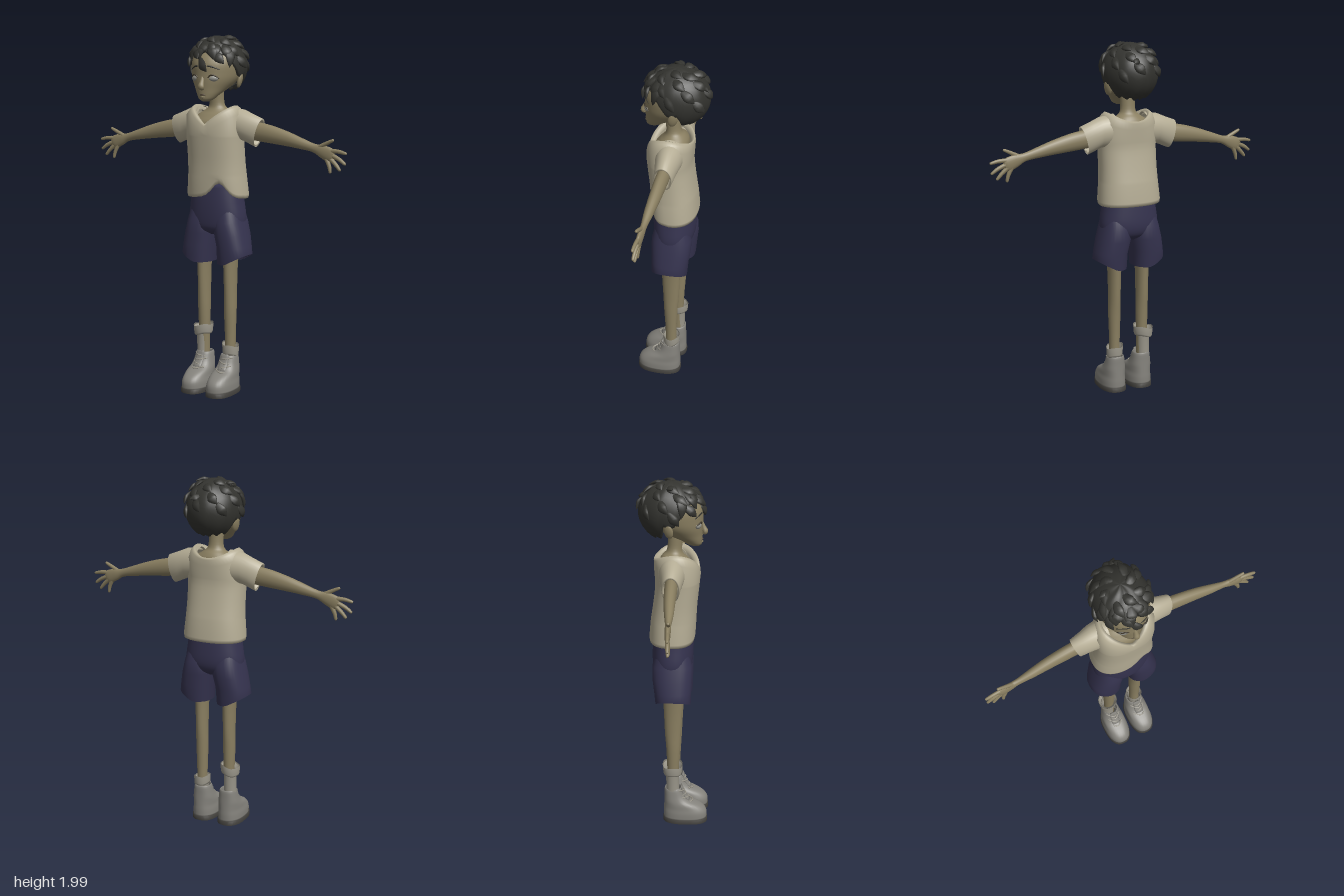
import * as THREE from 'three';

const mat = (color) => new THREE.MeshStandardMaterial({ color, side: THREE.DoubleSide });
const V = (x, y, z) => new THREE.Vector3(x, y, z);

// Catmull-Rom through rows of numbers, used for every profile and path
function spline(rows, steps = 4) {
  const out = [], last = rows.length - 1;
  const at = (i) => rows[Math.max(0, Math.min(last, i))];
  for (let i = 0; i < last; i++) {
    for (let s = 0; s < steps; s++) {
      const t = s / steps, [a, b, c, d] = [at(i - 1), at(i), at(i + 1), at(i + 2)];
      out.push(b.map((p, k) => p + 0.5 * t * (c[k] - a[k] + t * (2 * a[k] - 5 * p + 4 * c[k] - d[k]
        + t * (3 * (p - c[k]) + d[k] - a[k])))));
    }
  }
  out.push(rows[last]);
  return out;
}

// Smooth skin over a list of closed rings, each an array of points
function loft(rings, capStart = false, capEnd = false) {
  const point = (r) => {
    const c = r.reduce((s, p) => s.add(p), V(0, 0, 0)).divideScalar(r.length);
    return r.map(() => c);
  };
  const all = [...(capStart ? [point(rings[0])] : []), ...rings, ...(capEnd ? [point(rings.at(-1))] : [])];
  const n = rings[0].length, index = [];
  for (let i = 0; i < all.length - 1; i++) {
    for (let j = 0; j < n; j++) {
      const a = i * n + j, b = i * n + (j + 1) % n;
      index.push(a, b, a + n, b, b + n, a + n);
    }
  }
  const g = new THREE.BufferGeometry().setFromPoints(all.flat());
  g.setIndex(index);
  g.computeVertexNormals();
  return g;
}

// Horizontal ring: angle 0 is the front; yAt may bend its height
function ring(cx, y, rx, zf, zb, n = 32, pow = 1, yAt = null) {
  const bend = (v) => Math.sign(v) * Math.abs(v) ** pow;
  return Array.from({ length: n }, (_, i) => {
    const a = i / n * Math.PI * 2;
    const x = cx + rx * bend(Math.sin(a)), z = (zf + zb) / 2 + (zf - zb) / 2 * bend(Math.cos(a));
    return V(x, yAt ? yAt(x, z, a) : y, z);
  });
}
// Upright body from rows [y, halfWidth, zFront, zBack]
const stack = (rows, cx = 0, n = 32, pow = 1, steps = 4) =>
  spline(rows, steps).map(([y, rx, zf, zb]) => ring(cx, y, rx, zf, zb, n, pow));

// Sweep along rows [x, y, z, radius across, radius in depth]
function sweep(rows, n = 14, steps = 4, depth = V(0, 0, 1)) {
  const pts = spline(rows, steps), P = pts.map((p) => V(p[0], p[1], p[2]));
  return loft(P.map((p, i) => {
    const t = P[Math.min(i + 1, P.length - 1)].clone().sub(P[Math.max(i - 1, 0)]).normalize();
    const v = depth.clone().addScaledVector(t, -depth.dot(t)).normalize(), u = t.clone().cross(v);
    return Array.from({ length: n }, (_, j) => {
      const a = j / n * Math.PI * 2;
      return p.clone().addScaledVector(u, Math.sin(a) * pts[i][3]).addScaledVector(v, Math.cos(a) * pts[i][4]);
    });
  }), true, true);
}

export function createModel() {
  const model = new THREE.Group();
  const skin = mat(0x8a7f61), hairMat = mat(0x33332f), shirtMat = mat(0xb5ad95), shortsMat = mat(0x35334f);
  const shoeMat = mat(0x84827c), soleMat = mat(0x45433f), sockMat = mat(0x9b978b), eyeMat = mat(0x8f8f88);
  const add = (name, geo, m, parent = model) => {
    const mesh = new THREE.Mesh(geo, m);
    mesh.name = name;
    parent.add(mesh);
    return mesh;
  };
  const mirror = (side, name) => {
    const other = side.clone();
    other.scale.x = -1;
    other.name = name;
    model.add(side, other);
  };

  // Head and neck
  add('head', loft(stack([[1.633, 0.015, 0.138, 0.1], [1.645, 0.04, 0.152, 0.07], [1.67, 0.062, 0.155, 0.03],
    [1.7, 0.086, 0.156, -0.04], [1.74, 0.115, 0.158, -0.11], [1.78, 0.13, 0.158, -0.15], [1.84, 0.135, 0.155, -0.165],
    [1.9, 0.118, 0.118, -0.14], [1.94, 0.07, 0.06, -0.08]]), true, true), skin);
  add('neckAndChest', loft(stack([[1.4, 0.13, 0.09, -0.06], [1.5, 0.14, 0.115, -0.075], [1.55, 0.12, 0.085, -0.075],
    [1.58, 0.075, 0.058, -0.06], [1.61, 0.044, 0.046, -0.036], [1.68, 0.04, 0.05, -0.03], [1.74, 0.04, 0.05, -0.03]]), true, true), skin);
  add('nose', sweep([[0, 1.765, 0.148, 0.01, 0.01], [0, 1.735, 0.16, 0.013, 0.013], [0, 1.712, 0.169, 0.018, 0.016],
    [0, 1.7, 0.158, 0.012, 0.008]]), skin);
  add('mouth', sweep([[-0.032, 1.664, 0.138, 0.002, 0.003], [0, 1.671, 0.156, 0.004, 0.004],
    [0.032, 1.664, 0.138, 0.002, 0.003]], 8), mat(0x54483a));
  add('lowerLip', sweep([[-0.02, 1.656, 0.142, 0.003, 0.003], [0, 1.657, 0.154, 0.006, 0.006],
    [0.02, 1.656, 0.142, 0.003, 0.003]], 8), skin);

  // Eye, brow and ear of one side, then mirrored
  const face = new THREE.Group();
  face.name = 'leftFace';
  const eye = add('eye', new THREE.SphereGeometry(1, 20, 14), eyeMat, face);
  eye.scale.set(0.027, 0.016, 0.014);
  eye.position.set(0.057, 1.757, 0.134);
  eye.rotation.y = 0.4;
  add('upperLid', sweep([[0.03, 1.757, 0.15, 0.002, 0.002], [0.045, 1.773, 0.15, 0.004, 0.004],
    [0.066, 1.774, 0.143, 0.004, 0.004], [0.086, 1.757, 0.122, 0.002, 0.002]], 8), mat(0x3d362a), face);
  add('eyebrow', sweep([[0.022, 1.822, 0.153, 0.003, 0.002], [0.05, 1.821, 0.147, 0.005, 0.003],
    [0.09, 1.803, 0.119, 0.002, 0.002]], 8), hairMat, face);
  const ear = add('ear', new THREE.SphereGeometry(1, 16, 12), skin, face);
  ear.scale.set(0.014, 0.042, 0.026);
  ear.position.set(0.13, 1.745, -0.02);
  ear.rotation.set(-0.15, 0.35, -0.15);
  mirror(face, 'rightFace');

  // Hair cap: an ellipsoid cut along a ragged hairline
  const hairAt = (a, th, s = 1) => V(0.15 * s * Math.sin(th) * Math.sin(a), 1.82 + 0.163 * s * Math.cos(th),
    -0.014 + 0.174 * s * Math.sin(th) * Math.cos(a));
  const line = [[0, 1.895], [0.8, 1.885], [1.15, 1.84], [1.38, 1.765], [1.6, 1.765], [1.75, 1.765], [1.95, 1.7], [3.15, 1.685]];
  const edge = (a) => {
    const b = Math.abs(a), i = Math.max(1, line.findIndex((l) => l[0] >= b));
    const t = (b - line[i - 1][0]) / (line[i][0] - line[i - 1][0]);
    const y = THREE.MathUtils.lerp(line[i - 1][1], line[i][1], t) + 0.008 * Math.cos(a * 14);
    return Math.acos((y - 1.82) / 0.163);
  };
  const hairRings = [];
  for (let r = 0; r <= 17; r++) {
    hairRings.push(Array.from({ length: 72 }, (_, i) => {
      const a = (i / 72 * 2 - 1) * Math.PI, t = Math.min(1, (17 - r + 0.001) / 15);
      const under = r < 1 ? 0.84 : r < 2 ? 0.92 : 1;
      const wave = 1 + 0.012 * Math.sin(7 * a + 6 * t) * Math.sin(t * Math.PI);
      return hairAt(a, t * edge(a), under * wave);
    }));
  }
  add('hair', loft(hairRings), hairMat);

  // Locks [angle, start, end, swirl, lift] lying on the cap
  const lock = ([a, t0, t1, swirl, lift], w = 0.03) => {
    const rows = [[0, 0.95, 0.5], [0.5, 1.03, 1], [0.8, 1.02 + lift * 0.5, 0.6], [1, 1 + lift, 0.04]].map(([t, s, k]) => {
      const p = hairAt(a + swirl * t, t0 + (t1 - t0) * t, s);
      return [p.x, p.y, p.z, w * k, 0.012 * k];
    });
    add('hairLock', sweep(rows, 8, 3, hairAt(a, (t0 + t1) / 2).sub(V(0, 1.82, -0.014)).normalize()), hairMat);
  };
  for (let i = 0; i < 9; i++) {
    const a = -1.1 + i * 0.275;
    lock([a, 0.7, edge(a) + 0.14 + 0.06 * (i % 2), i % 2 ? 0.18 : -0.12, 0.03]);
  }
  for (let i = 0; i < 26; i++) {
    const t = 0.2 + 1.25 * i / 26;
    lock([1.2 + i * 2.4, t, t + 0.42, 0.35 / Math.sin(t + 0.25), 0.06 + 0.05 * (i % 3 === 0)], 0.026);
  }
  lock([3.0, 1.0, 1.2, -0.2, 0.16], 0.02);
  lock([-1.6, 0.45, 0.72, 0.1, 0.16], 0.022);

  // Shirt body with a V neck and a hem lifted at the front
  const hemY = (lift) => (x, z) => 1.1 + lift + (z > 0 ? 0.085 * Math.exp(-(((x - 0.078) / 0.055) ** 2))
    + 0.012 * Math.exp(-((x / 0.08) ** 2)) : 0);
  const neckY = (drop) => (x, z, a) => {
    const s = Math.abs(Math.sin(a));
    return 1.61 - drop - (Math.cos(a) > 0 ? 0.1 * (1 - s) : 0.045 * (1 - s * s));
  };
  add('shirt', loft([
    ring(0, 0, 0.16, 0.105, -0.115, 48, 0.85, hemY(0.012)), ring(0, 0, 0.175, 0.118, -0.13, 48, 0.85, hemY(0)),
    ring(0, 0, 0.178, 0.122, -0.133, 48, 0.85, hemY(0.02)),
    ...spline([[1.22, 0.168, 0.126, -0.124], [1.3, 0.164, 0.13, -0.112], [1.4, 0.164, 0.14, -0.1],
      [1.45, 0.166, 0.145, -0.1]], 3).map(([y, rx, zf, zb]) => ring(0, y, rx, zf, zb, 48, 0.85)),
    ring(0, 0, 0.165, 0.147, -0.106, 48, 0.88, neckY(0.045)), ring(0, 0, 0.14, 0.143, -0.107, 48, 0.95, neckY(0.012)),
    ring(0, 0, 0.125, 0.137, -0.104, 48, 1, neckY(0)), ring(0, 0, 0.11, 0.12, -0.09, 48, 1, neckY(0.008)),
    ring(0, 0, 0.11, 0.115, -0.085, 48, 1, neckY(0.03))]), shirtMat);

  // Sleeve, arm and hand
  const arm = new THREE.Group();
  arm.name = 'leftArm';
  const sleeve = [[0.09, 1.6, 0.1, 1.42, 0.075], [0.17, 1.588, 0.17, 1.42, 0.066], [0.225, 1.565, 0.205, 1.405, 0.056],
    [0.285, 1.542, 0.245, 1.388, 0.048], [0.28, 1.532, 0.242, 1.4, 0.04], [0.22, 1.53, 0.2, 1.42, 0.04]];
  add('sleeve', loft(sleeve.map(([x1, y1, x0, y0, rz]) => Array.from({ length: 28 }, (_, i) => {
    const a = i / 28 * Math.PI * 2, k = (1 - Math.sin(a)) / 2;
    return V(x0 + (x1 - x0) * k, y0 + (y1 - y0) * k, Math.cos(a) * rz);
  }))), shirtMat, arm);
  add('armAndPalm', sweep([[0.15, 1.485, 0, 0.05, 0.035], [0.3, 1.467, 0.002, 0.05, 0.034], [0.42, 1.446, 0.004, 0.041, 0.03],
    [0.52, 1.423, 0.008, 0.03, 0.024], [0.6, 1.403, 0.01, 0.023, 0.016], [0.65, 1.388, 0.011, 0.034, 0.016],
    [0.695, 1.371, 0.012, 0.038, 0.014], [0.715, 1.364, 0.013, 0.025, 0.009]], 18), skin, arm);
  [[0.62, 1.402, 0.672, 1.428, 0.72, 1.451], [0.69, 1.392, 0.745, 1.392, 0.795, 1.382], [0.695, 1.375, 0.75, 1.352, 0.79, 1.325],
    [0.69, 1.36, 0.73, 1.325, 0.76, 1.292], [0.672, 1.36, 0.694, 1.315, 0.703, 1.276]].forEach(([x0, y0, x1, y1, x2, y2], i) =>
    add(i ? 'finger' : 'thumb', sweep([[x0, y0, 0.011, 0.013, 0.011], [x1, y1, 0.015, 0.011, 0.01],
      [x2 * 0.85 + x1 * 0.15, y2 * 0.85 + y1 * 0.15, 0.017, 0.008, 0.008], [x2, y2, 0.018, 0.003, 0.003]], 10, 3), skin, arm));
  mirror(arm, 'rightArm');

  // Shorts
  add('shortsHips', loft(stack([[0.895, 0.08, 0.05, -0.05], [0.925, 0.15, 0.095, -0.095], [0.98, 0.168, 0.108, -0.115],
    [1.08, 0.156, 0.112, -0.113], [1.18, 0.143, 0.108, -0.105]], 0, 40, 0.88), true, true), shortsMat);
  const leg = new THREE.Group();
  leg.name = 'leftLeg';
  const hem = (x) => 0.735 + 0.055 * Math.max(0, (x - 0.1) / 0.105);
  const tube = (cx, y, rx, zf, zb, yAt) => ring(cx, y, rx, zf, zb, 32, 0.85, yAt);
  add('shortsLeg', loft([tube(0.11, 0.82, 0.07, 0.08, -0.075), tube(0.114, 0, 0.085, 0.096, -0.09, (x) => hem(x) + 0.008),
    tube(0.115, 0, 0.092, 0.102, -0.094, hem), tube(0.109, 0.83, 0.09, 0.105, -0.102), tube(0.095, 0.9, 0.091, 0.108, -0.112),
    tube(0.085, 0.97, 0.083, 0.107, -0.112), tube(0.08, 1.04, 0.07, 0.09, -0.09)]), shortsMat, leg);

  // Bare leg
  add('leg', loft(stack([[0.15, 0.03, 0.034, -0.03], [0.3, 0.03, 0.034, -0.03], [0.45, 0.034, 0.042, -0.036],
    [0.56, 0.033, 0.047, -0.044], [0.7, 0.035, 0.054, -0.05], [0.85, 0.045, 0.06, -0.06]], 0.086, 20), true, true), skin, leg);

  // Shoe with sole, tongue and laces
  add('sole', loft([[0, 0.07], [0.002, 0.074], [0.026, 0.074], [0.028, 0.066]].map(([y, rx]) =>
    ring(0.081, y, rx, 0.126 + rx, 0.02 - rx, 32, 0.8)), true, true), soleMat, leg);
  add('shoe', loft(stack([[0.024, 0.071, 0.196, -0.05], [0.06, 0.071, 0.196, -0.051], [0.088, 0.067, 0.18, -0.05],
    [0.112, 0.065, 0.145, -0.049], [0.135, 0.061, 0.095, -0.048], [0.165, 0.055, 0.068, -0.047],
    [0.205, 0.048, 0.052, -0.046], [0.208, 0.04, 0.045, -0.038], [0.18, 0.038, 0.042, -0.036]], 0.081, 32, 0.85, 3), true), shoeMat, leg);
  add('tongue', sweep([[0.081, 0.13, 0.092, 0.026, 0.01], [0.081, 0.17, 0.064, 0.026, 0.009], [0.081, 0.218, 0.05, 0.022, 0.006]],
    12, 3), shoeMat, leg);
  [[0.13, 0.112], [0.15, 0.085], [0.172, 0.073], [0.194, 0.063]].forEach(([y, z], i) => {
    const s = i % 2 ? 0.006 : -0.006;
    add('lace', sweep([[0.04, y - s, z - 0.028, 0.004, 0.004], [0.081, y, z + 0.004, 0.004, 0.004],
      [0.122, y + s, z - 0.028, 0.004, 0.004]], 6), sockMat, leg);
  });
  mirror(leg, 'rightLeg');

  // Socks: pulled up on the right, slumped on the left
  const sock = (name, cx, top, flare, tilt) => {
    const cuff = [[-0.19, 0], [-0.04, 0], [-0.055, 0.6], [-0.045, 0.8], [0, 1], [-0.008, 0.75], [-0.03, 0.1]];
    add(name, loft([ring(cx, 0.17, 0.036, 0.038, -0.036, 24), ...cuff.slice(1).map(([dy, f]) => {
      const r = 0.037 + flare * f;
      return ring(cx, 0, r, r, -r, 24, 1, (x, z, a) => top + dy + tilt * (x - cx) + 0.005 * f * Math.sin(3 * a));
    })]), sockMat);
  };
  sock('rightSock', -0.094, 0.362, 0.02, 0.15);
  sock('leftSock', 0.086, 0.268, 0.011, -0.15);
  return model;
}
